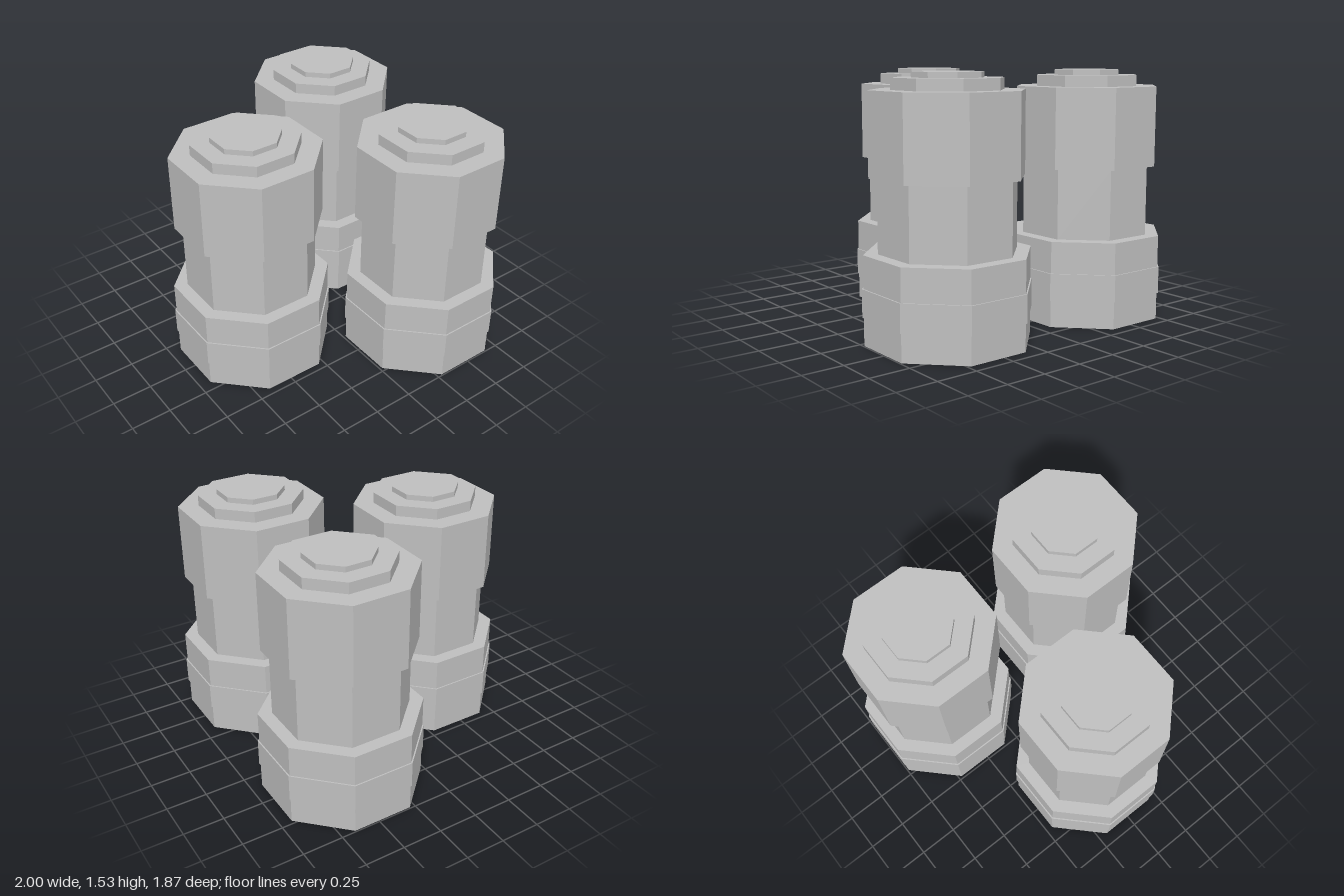
import * as THREE from 'three';

const SIDES = 8;

// Stacked octagonal tiers: name, bottom, top, half-width across the flats
const TIERS = [
  ['foot', 0, 0.165, 0.455],
  ['footBand', 0.165, 0.33, 0.463],
  ['footCollar', 0.33, 0.523, 0.455],
  ['waist', 0.523, 0.95, 0.377],
  ['head', 0.95, 1.435, 0.42],
  ['capStep', 1.435, 1.502, 0.302],
  ['capTop', 1.502, 1.535, 0.195],
];

// Column centres (x, z)
const COLUMNS = [
  ['frontColumn', 0, 0.472],
  ['backLeftColumn', 0.537, -0.472],
  ['backRightColumn', -0.537, -0.472],
];

// Octagonal prism with flat sides facing the axes
function makeTier([name, bottom, top, apothem], material) {
  const radius = apothem / Math.cos(Math.PI / SIDES);
  const geometry = new THREE.CylinderGeometry(radius, radius, top - bottom, SIDES, 1, false, Math.PI / SIDES);
  const mesh = new THREE.Mesh(geometry, material);
  mesh.name = name;
  mesh.position.y = (bottom + top) / 2;
  return mesh;
}

export function createModel() {
  const grey = new THREE.MeshStandardMaterial({ color: 0xbfbfbf });
  grey.name = 'plain grey';
  grey.flatShading = true;

  const model = new THREE.Group();
  model.name = 'columnCluster';
  for (const [name, x, z] of COLUMNS) {
    const column = new THREE.Group();
    column.name = name;
    column.position.set(x, 0, z);
    for (const tier of TIERS) column.add(makeTier(tier, grey));
    model.add(column);
  }
  return model;
}
